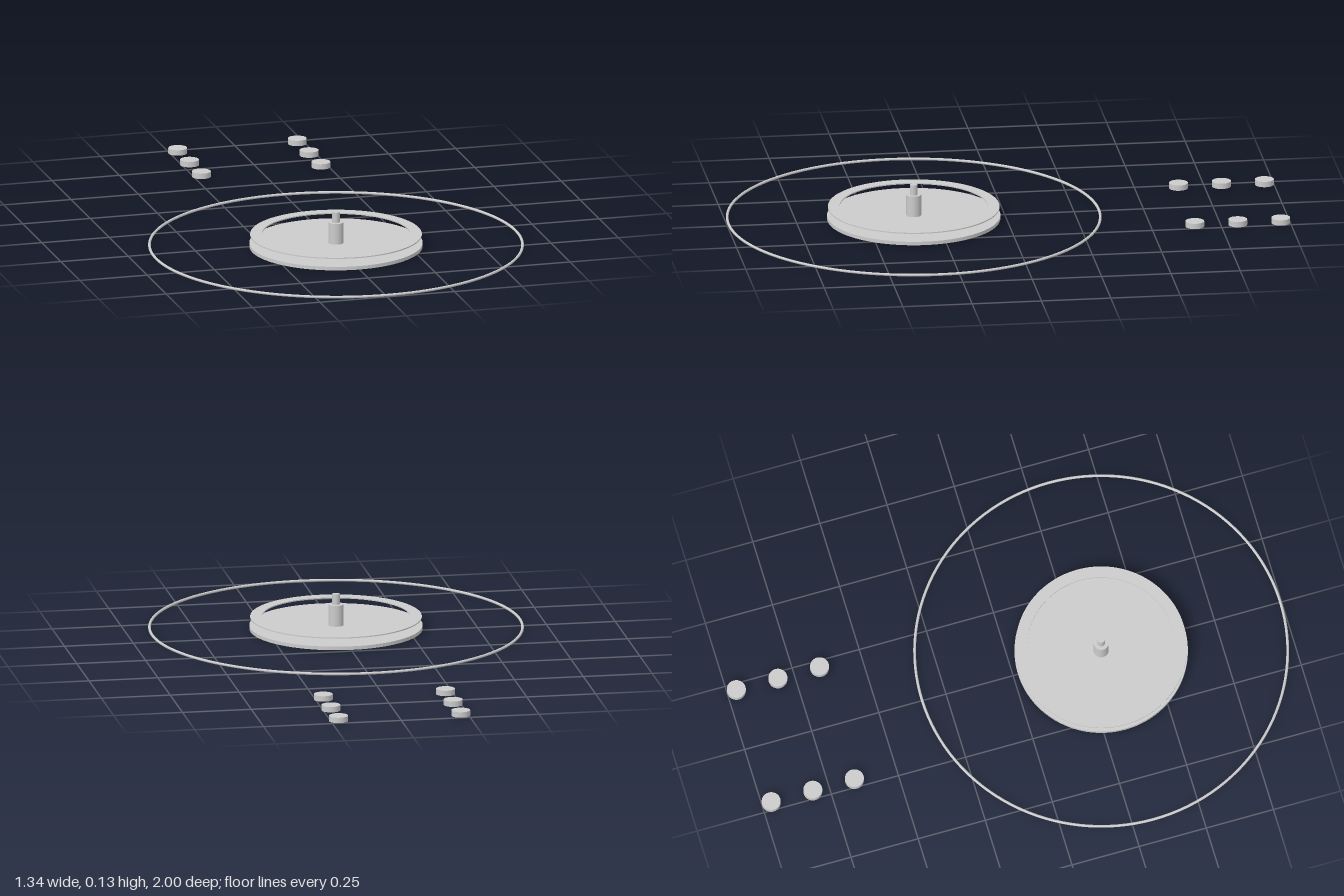
import * as THREE from 'three';

const material = new THREE.MeshStandardMaterial({ color: 0xcccccc });

function add(parent, name, geometry, x, y, z) {
  const mesh = new THREE.Mesh(geometry, material);
  mesh.name = name;
  mesh.position.set(x, y, z);
  parent.add(mesh);
  return mesh;
}

// Upright cylinder standing on height y
function disc(parent, name, radius, height, x, y, z, sides = 32) {
  return add(parent, name, new THREE.CylinderGeometry(radius, radius, height, sides), x, y + height / 2, z);
}

export function createModel() {
  const model = new THREE.Group();

  // Round assembly towards the front
  const hub = new THREE.Group();
  hub.name = 'hub';
  hub.position.z = 0.328;
  model.add(hub);

  // Thin hoop lying on the ground
  add(hub, 'outerHoop', new THREE.TorusGeometry(0.667, 0.005, 12, 128).rotateX(Math.PI / 2), 0, 0.005, 0);

  // Base plate and stepped centre post
  disc(hub, 'basePlate', 0.31, 0.013, 0, 0, 0, 96);
  disc(hub, 'post', 0.027, 0.077, 0, 0.013, 0);
  disc(hub, 'postTip', 0.0135, 0.038, 0, 0.09, 0);

  // Flat ring floating above the base plate
  const outline = new THREE.Shape().absarc(0, 0, 0.307, 0, Math.PI * 2);
  outline.holes.push(new THREE.Path().absarc(0, 0, 0.265, 0, Math.PI * 2, true));
  const ring = new THREE.ExtrudeGeometry(outline, { depth: 0.004, bevelEnabled: false, curveSegments: 96 });
  add(hub, 'floatingRing', ring.rotateX(-Math.PI / 2), 0, 0.042, 0);

  // Two rows of small pucks at the back
  for (const x of [-0.222, 0.222]) {
    for (let i = 0; i < 3; i++) disc(model, 'puck', 0.034, 0.02, x, 0, -0.656 - i * 0.155);
  }

  return model;
}
